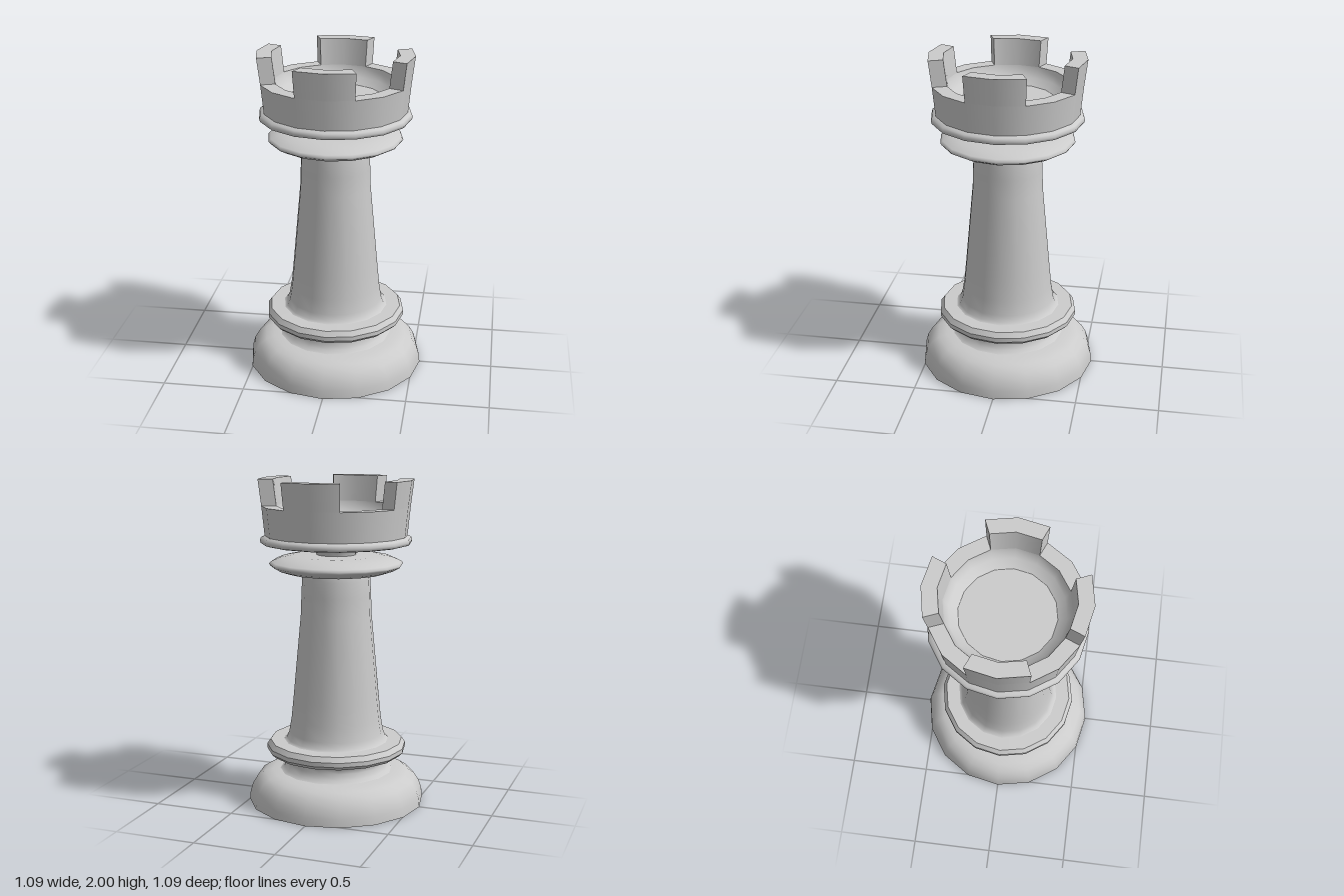
import * as THREE from 'three';

const SIDES = 16;
const STEP = (Math.PI * 2) / SIDES;
const material = new THREE.MeshStandardMaterial({ color: 0xcccccc, side: THREE.DoubleSide });

// Turned surface: each run of [radius, height] points is smooth, with a sharp edge between runs.
function turned(name, runs, start = 0, sides = SIDES) {
  const group = new THREE.Group();
  group.name = name;
  runs.forEach((run, i) => {
    const points = run.map(([r, y]) => new THREE.Vector2(r, y));
    const mesh = new THREE.Mesh(new THREE.LatheGeometry(points, sides, start, sides * STEP), material);
    mesh.name = `${name}Surface${i + 1}`;
    group.add(mesh);
  });
  return group;
}

// Flat radial face closing the end of a merlon.
function radialFace(name, corners, angle) {
  const shape = new THREE.Shape(corners.map(([r, y]) => new THREE.Vector2(r, y)));
  const mesh = new THREE.Mesh(new THREE.ShapeGeometry(shape).rotateY(angle - Math.PI / 2), material);
  mesh.name = name;
  return mesh;
}

export function createModel() {
  const model = new THREE.Group();
  model.name = 'rook';

  // Open-bottomed domed base with its waist
  model.add(turned('base', [
    [[0.545, 0], [0.54, 0.05], [0.525, 0.1], [0.495, 0.15], [0.45, 0.18], [0.40, 0.194], [0.35, 0.2]],
    [[0.35, 0.2], [0.325, 0.215], [0.31, 0.25], [0.312, 0.28], [0.33, 0.3], [0.35, 0.306]],
  ]));

  // Bevelled collar
  model.add(turned('collar', [
    [[0.35, 0.306], [0.408, 0.31]],
    [[0.408, 0.31], [0.432, 0.333]],
    [[0.432, 0.333], [0.432, 0.36]],
    [[0.432, 0.36], [0.41, 0.39]],
    [[0.41, 0.39], [0.325, 0.392]],
  ]));

  // Tapering column
  model.add(turned('column', [
    [[0.325, 0.392], [0.308, 0.402], [0.293, 0.44], [0.278, 0.53], [0.265, 0.66],
      [0.217, 1.18], [0.213, 1.3], [0.208, 1.4], [0.2, 1.44]],
  ]));

  // Flared disc and the narrow neck above it
  model.add(turned('disc', [
    [[0.2, 1.44], [0.31, 1.441]],
    [[0.31, 1.441], [0.36, 1.458], [0.40, 1.48], [0.408, 1.492], [0.395, 1.506],
      [0.34, 1.53], [0.26, 1.545], [0.12, 1.547]],
  ]));
  model.add(turned('neck', [[[0.12, 1.547], [0.126, 1.575], [0.14, 1.597]]]));

  // Head: underside, rounded rim, wall
  model.add(turned('head', [
    [[0.14, 1.597], [0.3, 1.603], [0.435, 1.612]],
    [[0.435, 1.612], [0.456, 1.618], [0.461, 1.634], [0.455, 1.652], [0.432, 1.662]],
    [[0.432, 1.662], [0.45, 1.84]],
  ]));

  // Hollow inside the head
  model.add(turned('bowl', [
    [[0.36, 1.84], [0.353, 1.815], [0.33, 1.775], [0.28, 1.74]],
    [[0.28, 1.74], [0, 1.74]],
  ]));

  // Four merlons alternating with four notch floors
  const corners = [[0.45, 1.84], [0.47, 2], [0.38, 2], [0.36, 1.84]];
  for (let i = 0; i < 4; i++) {
    const start = i * 4 * STEP - STEP;
    const merlon = turned('merlon', [0, 1, 2].map((k) => [corners[k], corners[k + 1]]), start, 2);
    merlon.add(radialFace('merlonRightEnd', corners, start));
    merlon.add(radialFace('merlonLeftEnd', corners, start + 2 * STEP));
    model.add(merlon);
    model.add(turned('notchFloor', [[corners[0], corners[3]]], start + 2 * STEP, 2));
  }

  return model;
}
